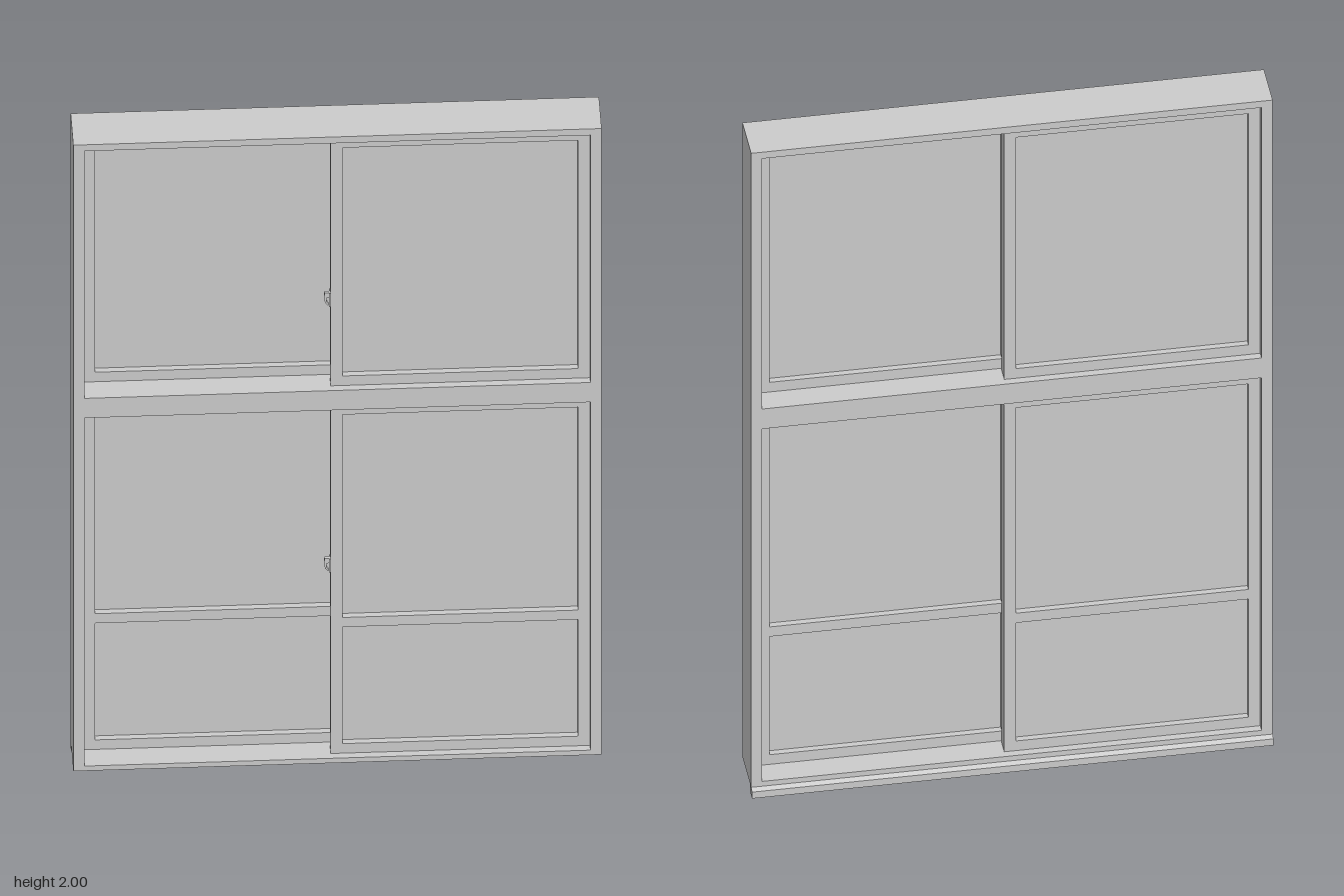
import * as THREE from 'three';

const material = new THREE.MeshStandardMaterial({ color: 0xcccccc });

function addMesh(parent, name, geometry) {
  const mesh = new THREE.Mesh(geometry, material);
  mesh.name = name;
  parent.add(mesh);
  return mesh;
}

function box(parent, name, x0, x1, y0, y1, z0, z1) {
  const mesh = addMesh(parent, name, new THREE.BoxGeometry(x1 - x0, y1 - y0, z1 - z0));
  mesh.position.set((x0 + x1) / 2, (y0 + y1) / 2, (z0 + z1) / 2);
  return mesh;
}

function rect(Type, x0, x1, y0, y1) {
  const p = new Type();
  p.moveTo(x0, y0);
  p.lineTo(x1, y0);
  p.lineTo(x1, y1);
  p.lineTo(x0, y1);
  p.closePath();
  return p;
}

// Rectangular slab from z0 to z1 with rectangular holes [x0, x1, y0, y1]
function framework(parent, name, outer, holes, z0, z1) {
  const shape = rect(THREE.Shape, ...outer);
  for (const h of holes) shape.holes.push(rect(THREE.Path, ...h));
  const geometry = new THREE.ExtrudeGeometry(shape, { depth: z1 - z0, bevelEnabled: false });
  geometry.translate(0, 0, z0);
  return addMesh(parent, name, geometry);
}

const HALF = 0.66;     // half width of the window
const INNER = 0.632;   // half width of the openings
const MEET = 0.016;    // overlap of the sashes past the centre
const RAIL = 0.03;     // width of sash members
const BACK = -0.058, FRONT = 0.0715;

// Sash with solid panes, optionally divided by a middle rail
function sash(parent, name, x0, x1, y0, y1, z0, z1, midRail) {
  const group = new THREE.Group();
  group.name = name;
  parent.add(group);
  const a = x0 + RAIL, b = x1 - RAIL;
  const holes = midRail
    ? [[a, b, y0 + RAIL, midRail - RAIL], [a, b, midRail, y1 - RAIL]]
    : [[a, b, y0 + RAIL, y1 - RAIL]];
  framework(group, 'sashFrame', [x0, x1, y0, y1], holes, z0, z1);
  const mid = (z0 + z1) / 2;
  for (const [hx0, hx1, hy0, hy1] of holes) {
    box(group, 'pane', hx0, hx1, hy0, hy1, mid - 0.005, mid + 0.005);
  }
}

// Small hooked latch on the edge of the front sash
function latch(parent, y) {
  const group = new THREE.Group();
  group.name = 'latch';
  group.position.set(-MEET, y, 0.026);
  parent.add(group);
  const hook = new THREE.Shape();
  hook.moveTo(0, 0.02);
  hook.lineTo(-0.014, 0.02);
  hook.lineTo(-0.016, 0.006);
  hook.lineTo(-0.013, -0.012);
  hook.lineTo(-0.006, -0.02);
  hook.lineTo(-0.003, -0.018);
  hook.lineTo(-0.009, -0.008);
  hook.lineTo(-0.009, 0.004);
  hook.lineTo(0, 0.006);
  hook.closePath();
  addMesh(group, 'latchHook', new THREE.ExtrudeGeometry(hook, { depth: 0.008, bevelEnabled: false }));
  box(group, 'latchPlate', -0.003, 0, -0.02, 0.022, -0.006, 0.014);
}

export function createModel() {
  const model = new THREE.Group();
  model.name = 'slidingWindow';

  // Outer frame with upper and lower openings
  const openings = [
    { y0: 0.04, y1: 1.138, midRail: 0.468, latchY: 0.622 },
    { y0: 1.2, y1: 1.98, midRail: 0, latchY: 1.46 },
  ];
  framework(model, 'outerFrame', [-HALF, HALF, 0.025, 2],
    openings.map((o) => [-INNER, INNER, o.y0, o.y1]), BACK, FRONT);

  // Each opening holds a front sash and a back sash that overlap at the centre
  for (const { y0, y1, midRail, latchY } of openings) {
    sash(model, 'frontSash', -MEET, INNER, y0, y1, 0.009, 0.052, midRail);
    sash(model, 'backSash', -INNER, MEET, y0, y1, -0.038, 0.005, midRail);
    latch(model, latchY);
  }

  // Drip sill along the lower back edge
  const profile = new THREE.Shape();
  profile.moveTo(0.042, 0.006);
  profile.lineTo(0.046, 0);
  profile.lineTo(0.0715, 0);
  profile.lineTo(0.0715, 0.02);
  profile.lineTo(0.058, 0.025);
  profile.lineTo(0.042, 0.025);
  profile.closePath();
  const sill = new THREE.ExtrudeGeometry(profile, { depth: 2 * HALF, bevelEnabled: false });
  sill.translate(0, 0, -HALF);
  sill.rotateY(Math.PI / 2);
  addMesh(model, 'dripSill', sill);

  return model;
}
